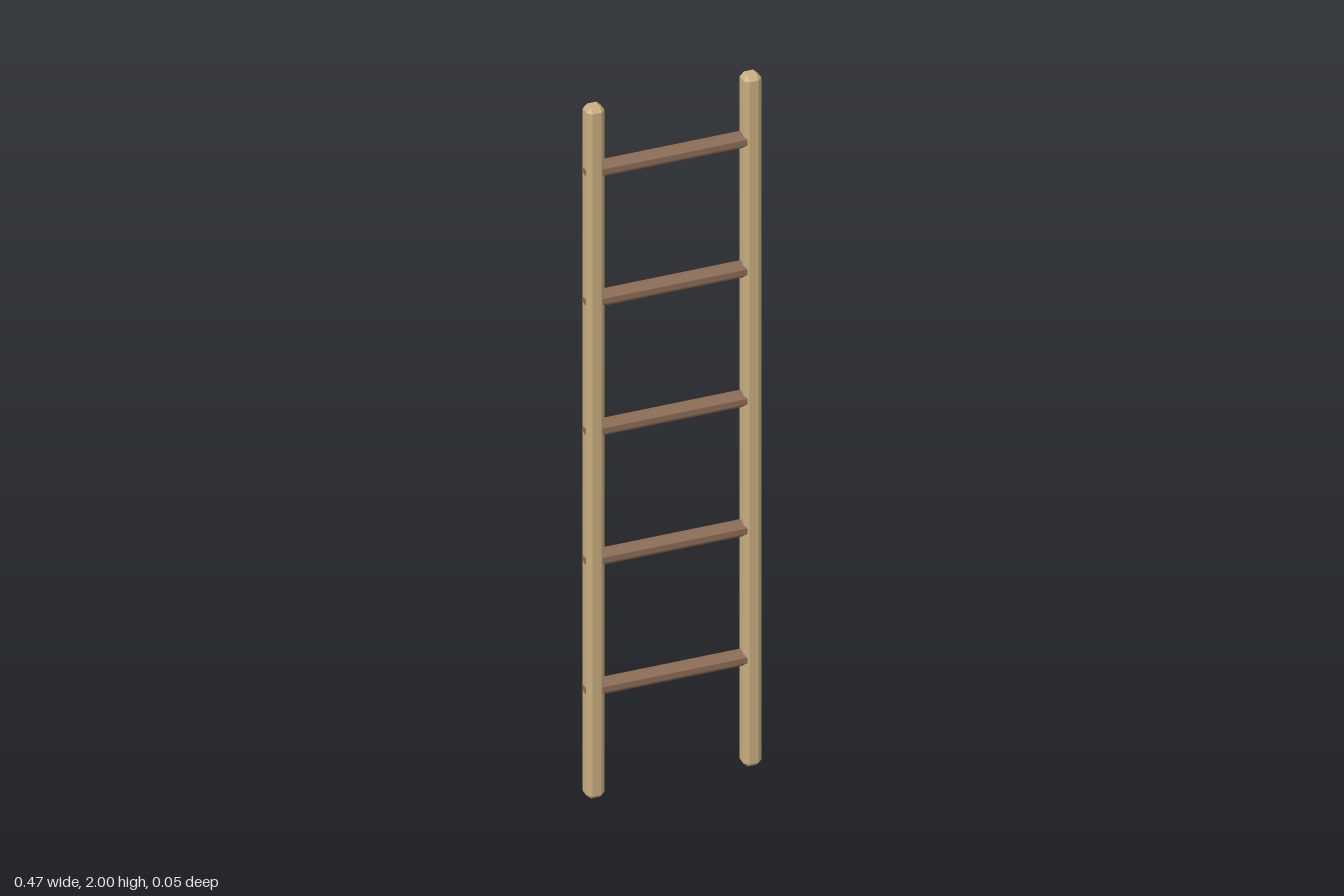
import * as THREE from 'three';
import { ConvexGeometry } from 'three/addons/geometries/ConvexGeometry.js';

// Box with every edge chamfered by c; w, h, d are full sizes
function chamferedBox(w, h, d, c) {
  const points = [];
  for (const sx of [-1, 1]) for (const sy of [-1, 1]) for (const sz of [-1, 1]) {
    const x = w / 2, y = h / 2, z = d / 2;
    points.push(
      new THREE.Vector3(sx * x, sy * (y - c), sz * (z - c)),
      new THREE.Vector3(sx * (x - c), sy * y, sz * (z - c)),
      new THREE.Vector3(sx * (x - c), sy * (y - c), sz * z)
    );
  }
  return new ConvexGeometry(points);
}

export function createModel() {
  const group = new THREE.Group();
  group.name = 'ladder';
  const railWood = new THREE.MeshStandardMaterial({ color: 0xc8ad7f, flatShading: true });
  const rungWood = new THREE.MeshStandardMaterial({ color: 0x8c6c54, flatShading: true });

  // Upright rails
  const railGeometry = chamferedBox(0.048, 2, 0.048, 0.0118);
  for (const [name, side] of [['leftRail', 1], ['rightRail', -1]]) {
    const rail = new THREE.Mesh(railGeometry, railWood);
    rail.name = name;
    rail.position.set(side * 0.209, 1, 0);
    group.add(rail);
  }

  // Rungs, whose ends just show through the outer faces of the rails
  const rungGeometry = chamferedBox(0.468, 0.041, 0.041, 0.0125);
  for (let i = 0; i < 5; i++) {
    const rung = new THREE.Mesh(rungGeometry, rungWood);
    rung.name = `rung${i + 1}`;
    rung.position.y = 0.3125 + i * 0.375;
    group.add(rung);
  }
  return group;
}
